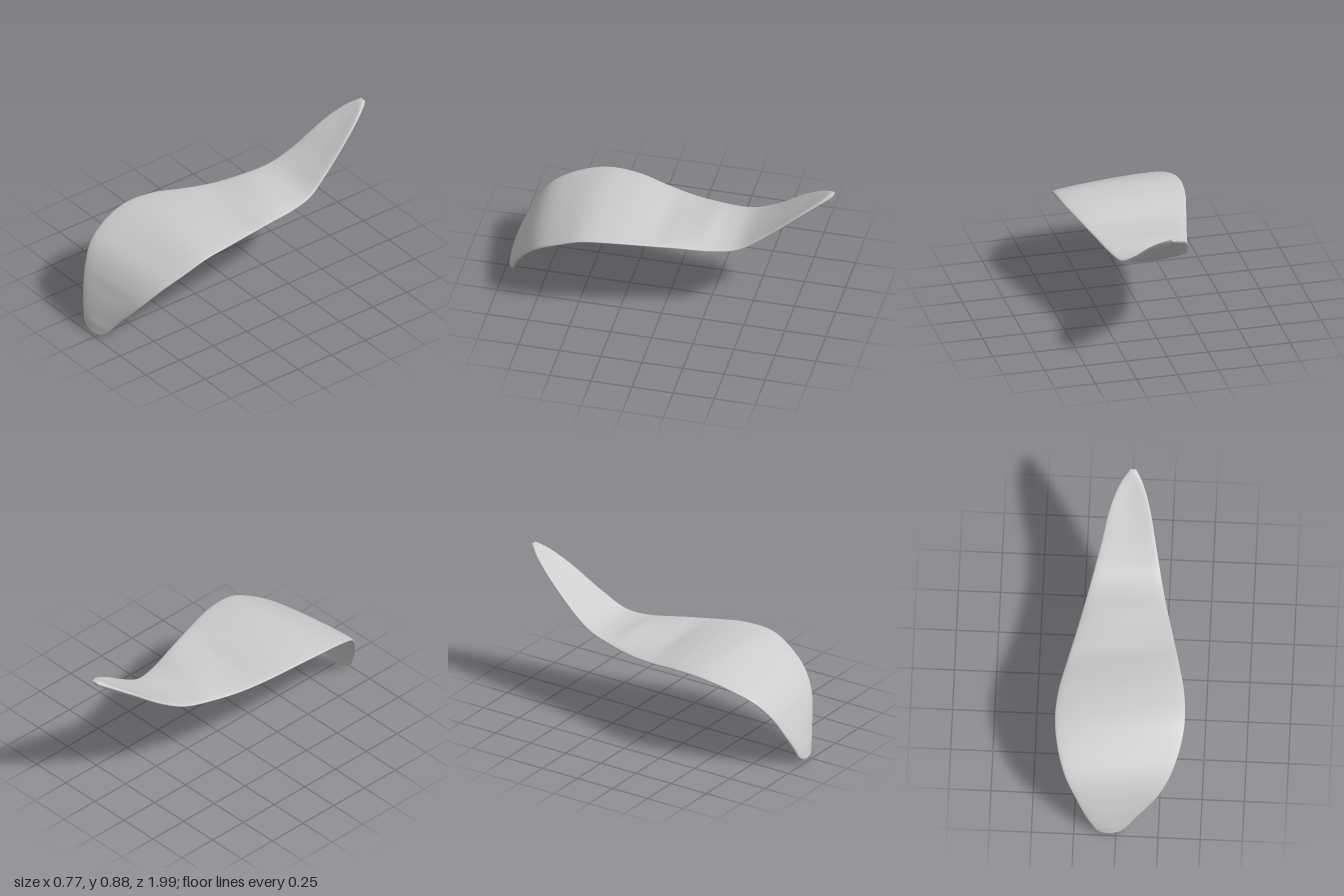
import * as THREE from 'three';

// Stations from the drooping front lip to the raised back tip:
// [x, y, z] of one rim, [x, y, z] of the other, then the rise of the middle.
const stations = [
  [-0.06, 0.008, 0.982, 0.02, 0.006, 0.966, -0.003],
  [-0.112, 0.045, 0.982, 0.06, 0.04, 0.95, 0],
  [-0.145, 0.11, 0.97, 0.108, 0.11, 0.922, 0],
  [-0.19, 0.2, 0.94, 0.18, 0.2, 0.88, 0],
  [-0.245, 0.32, 0.885, 0.255, 0.3, 0.825, 0],
  [-0.31, 0.43, 0.795, 0.318, 0.4, 0.735, 0.003],
  [-0.36, 0.5, 0.65, 0.365, 0.485, 0.6, 0.006],
  [-0.385, 0.54, 0.47, 0.385, 0.545, 0.46, 0.012],
  [-0.37, 0.538, 0.28, 0.373, 0.558, 0.28, 0.01],
  [-0.33, 0.512, 0.1, 0.335, 0.545, 0.1, 0],
  [-0.282, 0.496, -0.1, 0.287, 0.525, -0.1, 0],
  [-0.235, 0.508, -0.3, 0.238, 0.502, -0.3, 0],
  [-0.2, 0.535, -0.45, 0.205, 0.515, -0.45, -0.008],
  [-0.163, 0.612, -0.6, 0.17, 0.605, -0.6, -0.012],
  [-0.113, 0.76, -0.8, 0.12, 0.757, -0.8, -0.02],
  [-0.06, 0.842, -0.92, 0.074, 0.842, -0.92, -0.012],
  [-0.005, 0.886, -0.993, 0.03, 0.886, -0.993, -0.002],
];

const curve = (pick) => new THREE.CatmullRomCurve3(stations.map((s) => new THREE.Vector3(...pick(s))));
const rimA = curve((s) => s.slice(0, 3));
const rimB = curve((s) => s.slice(3, 6));
const rise = curve((s) => [0, s[6], 0]);

// Middle surface: u runs front to back, v runs -1..1 from rim to rim
function sheet(u, v) {
  const p = rimA.getPoint(u).lerp(rimB.getPoint(u), (v + 1) / 2);
  p.y += rise.getPoint(u).y * (1 - v * v);
  return p;
}

function sheetNormal(u, v) {
  const e = 0.004;
  const u0 = Math.max(0, u - e), u1 = Math.min(1, u + e);
  const along = sheet(u1, v).sub(sheet(u0, v));
  const across = sheet(u, 1).sub(sheet(u, -1));
  across.y -= 4 * v * rise.getPoint(u).y;
  return across.cross(along).normalize();
}

// Closed skin around the sheet, with rounded rims and ends
function petalGeometry(rows = 120, sides = 56, halfThickness = 0.017) {
  const positions = [], index = [];
  for (let i = 0; i <= rows; i++) {
    const u = (1 - Math.cos((Math.PI * i) / rows)) / 2;
    const end = Math.min(1, Math.min(u, 1 - u) / 0.03);
    const thick = halfThickness * Math.sqrt(1 - (1 - end) ** 2);
    for (let j = 0; j < sides; j++) {
      const a = (j / sides) * Math.PI * 2;
      const s = Math.sin(a), v = Math.cos(a);
      const offset = thick * Math.sign(s) * Math.abs(s) ** 0.7;
      const p = sheet(u, v).addScaledVector(sheetNormal(u, v), offset);
      positions.push(p.x, p.y, p.z);
    }
  }
  for (let i = 0; i < rows; i++) {
    for (let j = 0; j < sides; j++) {
      const k = (j + 1) % sides;
      const a = i * sides + j, b = a + sides, c = i * sides + k, d = c + sides;
      index.push(a, b, c, c, b, d);
    }
  }
  const geometry = new THREE.BufferGeometry();
  geometry.setAttribute('position', new THREE.Float32BufferAttribute(positions, 3));
  geometry.setIndex(index);
  geometry.computeVertexNormals();
  return geometry;
}

export function createModel() {
  const group = new THREE.Group();
  group.name = 'curvedPetal';
  const petal = new THREE.Mesh(petalGeometry(), new THREE.MeshStandardMaterial({ color: 0xcccccc }));
  petal.name = 'petal';
  group.add(petal);

  // Stand on the ground, centred front to back
  const box = new THREE.Box3().setFromObject(petal);
  petal.position.set(0, -box.min.y, -(box.min.z + box.max.z) / 2);
  return group;
}
